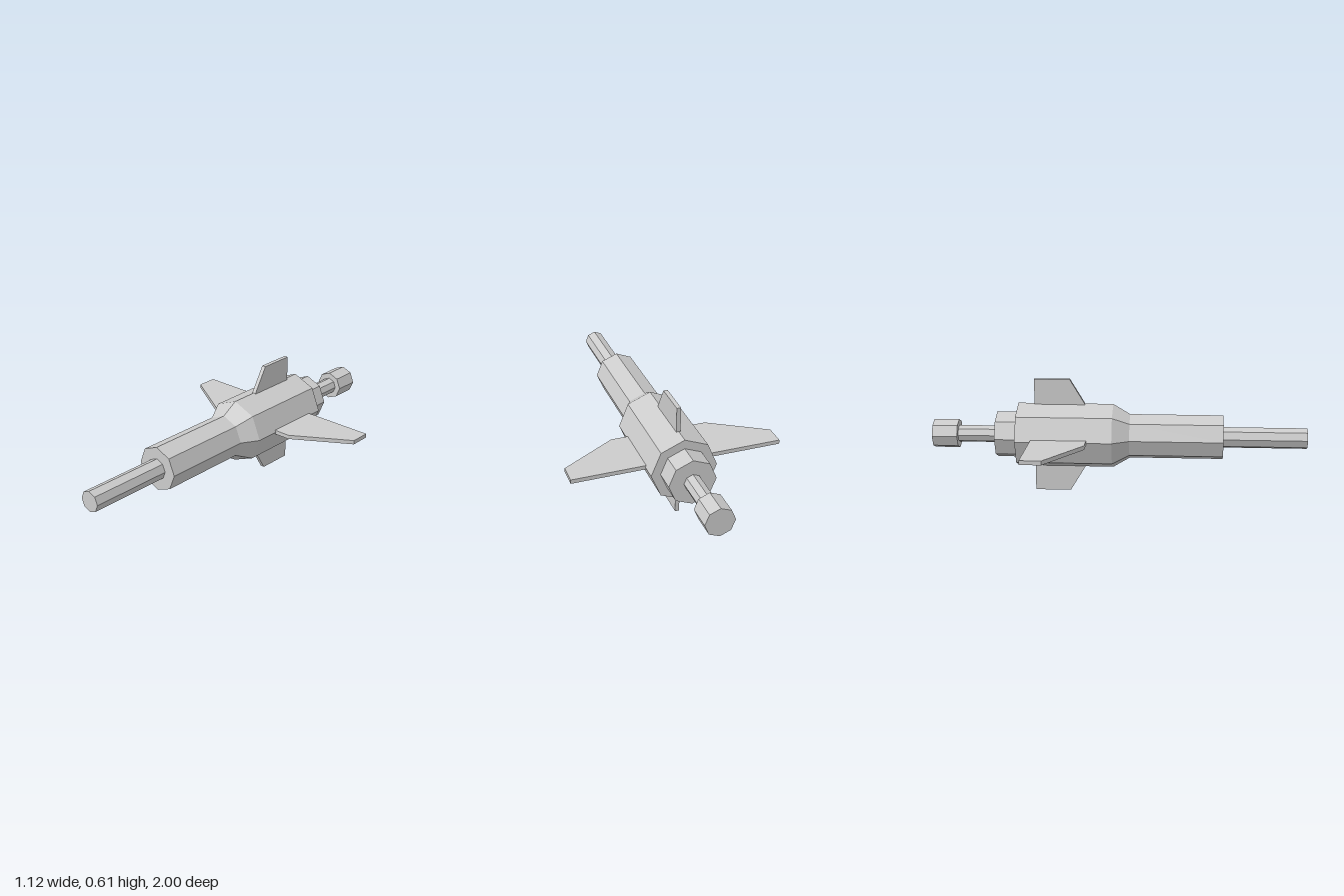
import * as THREE from 'three';

const AXIS_Y = 0.306;

export function createModel() {
  const model = new THREE.Group();
  const material = new THREE.MeshStandardMaterial({ color: 0xcccccc, flatShading: true });

  const add = (name, geometry) => {
    const mesh = new THREE.Mesh(geometry, material);
    mesh.name = name;
    mesh.position.y = AXIS_Y;
    model.add(mesh);
    return mesh;
  };

  // Eight-sided hull sections along z: name, back z, front z, back radius, front radius
  const sections = [
    ['noseBarrel', 0.555, 1.0, 0.056, 0.056],
    ['forwardHull', 0.06, 0.555, 0.12, 0.12],
    ['hullTaper', -0.03, 0.06, 0.174, 0.12],
    ['mainHull', -0.54, -0.03, 0.174, 0.174],
    ['rearCollar', -0.655, -0.54, 0.125, 0.125],
    ['tailRod', -0.865, -0.655, 0.046, 0.046],
    ['tailCap', -1.0, -0.865, 0.078, 0.078],
  ];
  for (const [name, back, front, rBack, rFront] of sections) {
    const geometry = new THREE.CylinderGeometry(rFront, rBack, front - back, 8);
    geometry.rotateX(Math.PI / 2).translate(0, 0, (front + back) / 2);
    add(name, geometry);
  }

  // Flat plate outlined by [distance from axis, z], turned about the hull axis
  const addPlate = (name, outline, angle) => {
    const shape = new THREE.Shape(outline.map(([r, z]) => new THREE.Vector2(r, z)));
    const geometry = new THREE.ExtrudeGeometry(shape, { depth: 0.022, bevelEnabled: false });
    geometry.translate(0, 0, -0.011).rotateX(Math.PI / 2);
    add(name, geometry).rotation.z = angle;
  };

  // Swept side wings
  const wing = [[0.1, -0.455], [0.558, -0.455], [0.558, -0.345], [0.26, -0.163], [0.1, -0.163]];
  addPlate('leftWing', wing, 0);
  addPlate('rightWing', wing, Math.PI);

  // Upper and lower fins
  const fin = [[0.1, -0.452], [0.306, -0.452], [0.306, -0.262], [0.174, -0.182], [0.1, -0.182]];
  addPlate('upperFin', fin, Math.PI / 2);
  addPlate('lowerFin', fin, -Math.PI / 2);

  return model;
}
